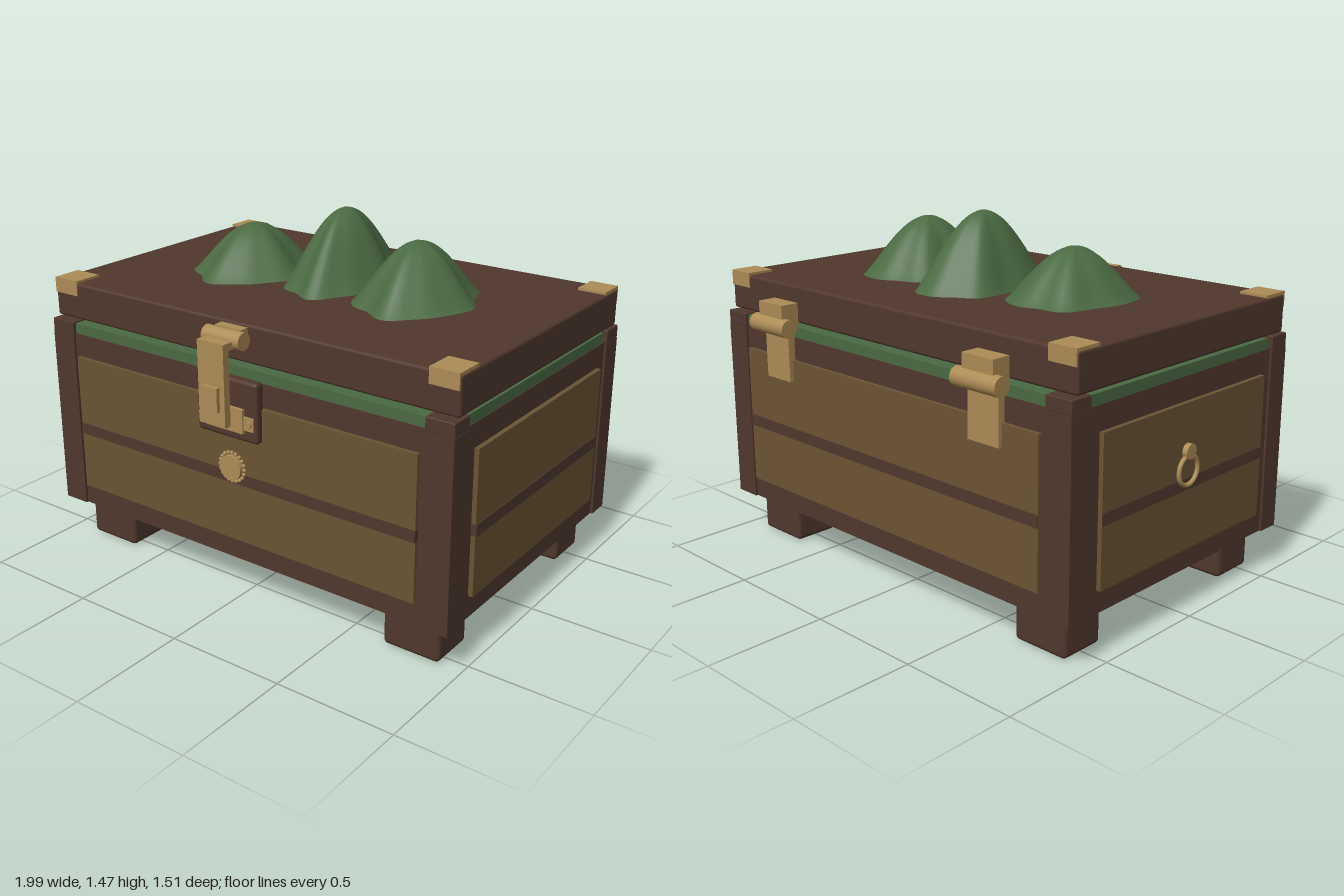
import * as THREE from 'three';
import { mergeVertices } from 'three/addons/utils/BufferGeometryUtils.js';
import { RoundedBoxGeometry } from 'three/addons/geometries/RoundedBoxGeometry.js';

const paint = (name, color) => {
  const m = new THREE.MeshStandardMaterial({ color });
  m.name = name;
  return m;
};

export function createModel() {
  const wood = paint('dark wood', 0x50382d);
  const ochre = paint('panel ochre', 0x6a5434);
  const brass = paint('brass', 0xad8c56);
  const green = paint('green', 0x4b6a43);

  const model = new THREE.Group();
  model.name = 'chest';

  const add = (name, geometry, material, x = 0, y = 0, z = 0, parent = model) => {
    const mesh = new THREE.Mesh(geometry, material);
    mesh.name = name;
    mesh.position.set(x, y, z);
    parent.add(mesh);
    return mesh;
  };
  // Box given by its extents; r rounds the edges
  const box = (name, material, [x0, x1], [y0, y1], [z0, z1], r = 0, parent = model) => {
    const size = [x1 - x0, y1 - y0, z1 - z0];
    const geometry = r ? new RoundedBoxGeometry(...size, 3, r) : new THREE.BoxGeometry(...size);
    return add(name, geometry, material, (x0 + x1) / 2, (y0 + y1) / 2, (z0 + z1) / 2, parent);
  };
  const rod = (name, material, radius, length, axis, x, y, z, parent = model) => {
    const geometry = new THREE.CylinderGeometry(radius, radius, length, 24);
    if (axis === 'x') geometry.rotateZ(Math.PI / 2);
    if (axis === 'z') geometry.rotateX(Math.PI / 2);
    return add(name, geometry, material, x, y, z, parent);
  };

  // Body, base and corner posts
  box('body', wood, [-0.958, 0.969], [0.18, 0.955], [-0.664, 0.62]);
  box('base', wood, [-0.88, 0.895], [0.15, 0.2], [-0.595, 0.55], 0.012);
  for (const [x0, x1] of [[-0.968, -0.85], [0.861, 0.979]]) {
    for (const [z0, z1] of [[-0.674, -0.573], [0.53, 0.63]]) {
      box('cornerPost', wood, [x0, x1], [0.18, 0.95], [z0, z1]);
      box('postCap', wood, [x0, x1], [0.95, 1.005], [z0, z1], 0.004);
    }
  }
  for (const x of [[-0.888, -0.642], [0.658, 0.904]]) {
    for (const z of [[-0.6, -0.4], [0.354, 0.557]]) box('foot', wood, x, [0, 0.18], z, 0.02);
  }

  // Side panels with a middle band
  const panelY = [0.273, 0.86], bandY = [0.519, 0.567], across = [-0.83, 0.84], along = [-0.516, 0.472];
  box('frontPanel', ochre, across, panelY, [0.61, 0.637]);
  box('frontBand', wood, across, bandY, [0.61, 0.64]);
  box('backPanel', ochre, across, panelY, [-0.682, -0.65]);
  box('backBand', wood, across, bandY, [-0.685, -0.65]);
  box('leftPanel', ochre, [0.95, 0.988], panelY, along);
  box('leftBand', wood, [0.95, 0.992], bandY, along);
  box('rightPanel', ochre, [-0.977, -0.94], panelY, along);
  box('rightBand', wood, [-0.98, -0.94], bandY, along);

  // Green lining along the rim
  for (const z of [[0.53, 0.615], [-0.66, -0.575]]) box('liningLong', green, [-0.85, 0.861], [0.95, 0.998], z);
  for (const x of [[-0.955, -0.85], [0.861, 0.966]]) box('liningShort', green, x, [0.95, 0.998], [-0.561, 0.516]);

  // Lid with brass corners
  box('lid', wood, [-0.968, 0.979], [1.012, 1.166], [-0.646, 0.6], 0.012);
  for (const x of [[-0.964, -0.84], [0.855, 0.975]]) {
    for (const z of [[-0.65, -0.53], [0.477, 0.604]]) box('lidCorner', brass, x, [1.113, 1.176], z);
  }

  // Lumpy mounds on the lid: a lathed dome whose radius waves with the angle
  const mound = (x, z, rx, rz, height, phase) => {
    const profile = [];
    for (let i = 0; i <= 20; i++) {
      const t = 1 - i / 20;
      profile.push(new THREE.Vector2(t, i === 0 ? 0 : height * Math.cos((t * Math.PI) / 2) ** 1.15));
    }
    let geometry = new THREE.LatheGeometry(profile, 60);
    geometry.deleteAttribute('uv');
    geometry.deleteAttribute('normal');
    const p = geometry.attributes.position;
    for (let i = 0; i < p.count; i++) {
      const a = Math.atan2(p.getZ(i), p.getX(i));
      const k = 1 + 0.055 * Math.sin(5 * a + phase) + 0.025 * Math.sin(8 * a + 2 * phase);
      p.setXYZ(i, p.getX(i) * k * rx, p.getY(i), p.getZ(i) * k * rz);
    }
    geometry = mergeVertices(geometry, 1e-4);
    geometry.computeVertexNormals();
    add('mound', geometry, green, x, 1.163, z);
  };
  mound(-0.405, -0.02, 0.232, 0.285, 0.202, 0.4);
  mound(0.01, -0.1, 0.2, 0.31, 0.308, 1.6);
  mound(0.4, -0.04, 0.232, 0.29, 0.24, 1.2);

  // Front latch
  const latch = new THREE.Group();
  latch.name = 'latch';
  model.add(latch);
  box('latchBacking', wood, [-0.14, 0.155], [0.722, 0.968], [0.62, 0.667], 0.015, latch);
  box('latchPlate', brass, [-0.085, 0.096], [0.76, 0.858], [0.66, 0.68], 0, latch);
  box('latchWing', brass, [-0.12, 0.142], [0.775, 0.83], [0.66, 0.674], 0, latch);
  for (const x of [-0.103, 0.12]) rod('screw', brass, 0.015, 0.02, 'z', x, 0.803, 0.673, latch);
  box('latchMount', brass, [-0.06, 0.066], [1.08, 1.155], [0.59, 0.64], 0, latch);
  rod('latchPivot', brass, 0.035, 0.18, 'x', 0.005, 1.121, 0.658, latch);
  box('latchArm', brass, [-0.06, 0.066], [1.095, 1.125], [0.66, 0.743], 0, latch);
  box('latchStrap', brass, [-0.06, 0.066], [0.797, 1.11], [0.712, 0.743], 0, latch);
  box('latchCatch', brass, [-0.037, 0.043], [0.858, 0.955], [0.74, 0.76], 0, latch);

  // Round boss under the latch with a beaded rim
  rod('boss', brass, 0.052, 0.025, 'z', 0.006, 0.588, 0.643);
  const beads = 20;
  for (let i = 0; i < beads; i++) {
    const a = (i / beads) * Math.PI * 2;
    add('bossBead', new THREE.SphereGeometry(0.008, 10, 8), brass,
      0.006 + 0.06 * Math.cos(a), 0.588 + 0.06 * Math.sin(a), 0.641);
  }

  // Ring pull on the right side
  const ring = new THREE.TorusGeometry(0.058, 0.009, 10, 32).rotateY(Math.PI / 2);
  add('ringPull', ring, brass, -0.986, 0.6, -0.03);
  rod('ringMount', brass, 0.03, 0.03, 'x', -0.984, 0.675, -0.03);

  // Back hinges
  for (const x of [-0.583, 0.605]) {
    const hinge = new THREE.Group();
    hinge.name = 'hinge';
    hinge.position.x = x;
    model.add(hinge);
    const w = [-0.076, 0.076];
    rod('hingeBarrel', brass, 0.038, 0.22, 'x', 0, 1.004, -0.717, hinge);
    box('hingeUpperLeaf', brass, w, [1.01, 1.097], [-0.727, -0.64], 0, hinge);
    box('hingeLowerLeaf', brass, w, [0.773, 1.0], [-0.7, -0.67], 0, hinge);
  }

  return model;
}
